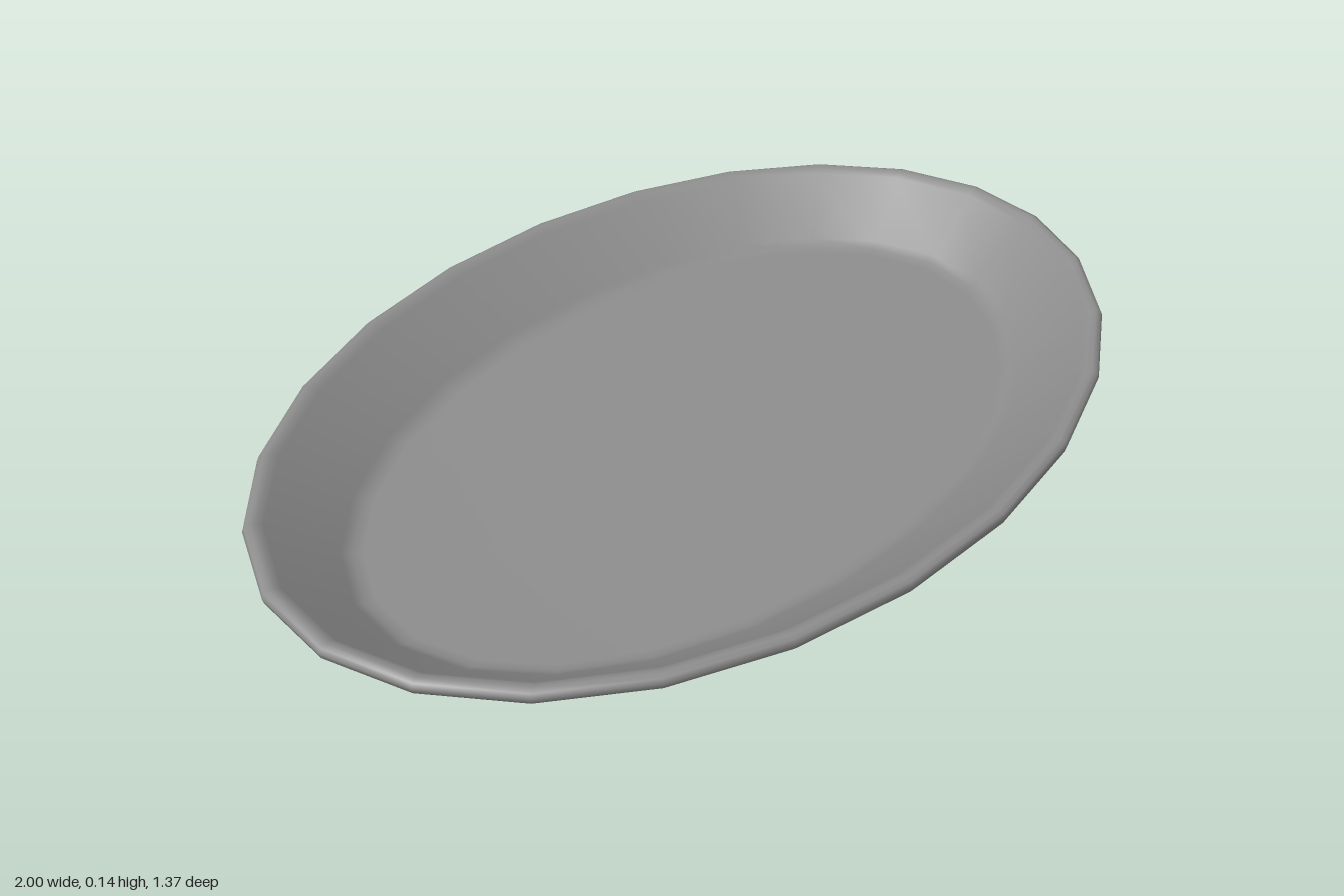
import * as THREE from 'three';
import { mergeVertices } from 'three/addons/utils/BufferGeometryUtils.js';

// Cross-section [radius along x, height]: underside, sloping wall, rounded lip, inside, floor
const PROFILE = [
  [0, 0], [0.8, 0], [0.822, 0.004], [0.845, 0.015],
  [0.985, 0.112], [0.997, 0.121], [1, 0.132], [0.996, 0.141], [0.986, 0.145],
  [0.974, 0.143], [0.962, 0.135],
  [0.835, 0.036], [0.815, 0.026], [0.79, 0.022], [0, 0.022],
];

// Oval depth: the floor is scaled, while the wall keeps an even width all round
const depthFor = (r) => Math.max(r * 0.61, r - 0.315);

export function createModel() {
  const group = new THREE.Group();
  group.name = 'ovalDish';

  const grey = new THREE.MeshStandardMaterial({ color: 0x8e8e8e });
  grey.name = 'grey';

  const lathe = new THREE.LatheGeometry(PROFILE.map(([r, y]) => new THREE.Vector2(r, y)), 24);
  const pos = lathe.attributes.position;
  for (let i = 0; i < pos.count; i++) {
    const r = Math.hypot(pos.getX(i), pos.getZ(i));
    if (r > 0) pos.setZ(i, (pos.getZ(i) / r) * depthFor(r));
  }

  // Weld the seam so the shading runs smoothly round the dish
  lathe.deleteAttribute('uv');
  lathe.deleteAttribute('normal');
  const geometry = mergeVertices(lathe, 1e-4);
  geometry.computeVertexNormals();

  const dish = new THREE.Mesh(geometry, grey);
  dish.name = 'dish';
  group.add(dish);
  return group;
}
